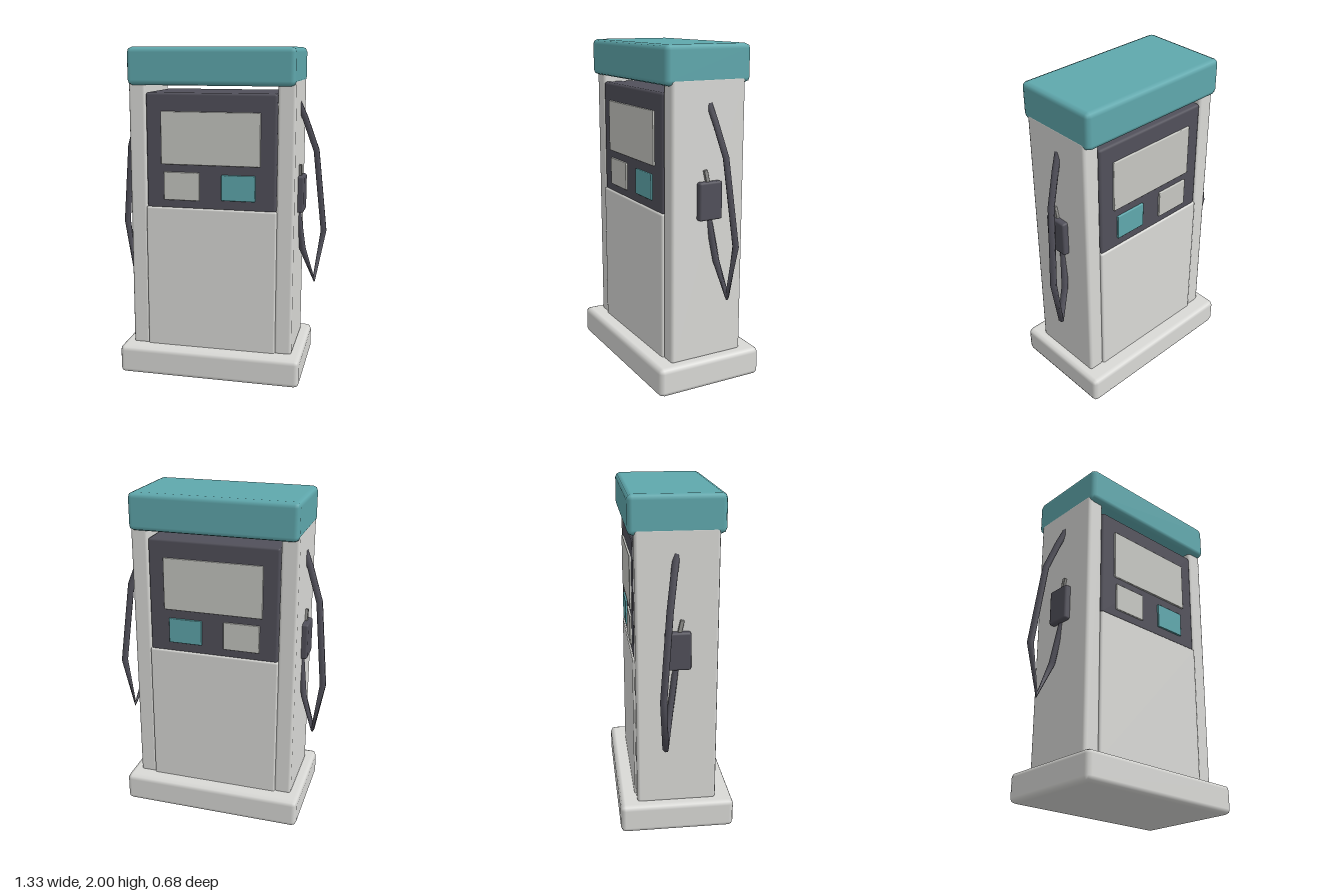
import * as THREE from 'three';
import { RoundedBoxGeometry } from 'three/addons/geometries/RoundedBoxGeometry.js';

const mat = (name, color) => Object.assign(new THREE.MeshStandardMaterial({ color }), { name });

// Straight-segment path whose rings sit exactly on the given points
class Polyline extends THREE.Curve {
  constructor(points) {
    super();
    this.points = points;
  }
  at(i) {
    return this.points[THREE.MathUtils.clamp(i, 0, this.points.length - 1)];
  }
  getPointAt(u, target = new THREE.Vector3()) {
    return target.copy(this.at(Math.round(u * (this.points.length - 1))));
  }
  getTangentAt(u, target = new THREE.Vector3()) {
    const i = Math.round(u * (this.points.length - 1));
    const a = this.at(i).clone().sub(this.at(i - 1)).normalize();
    const b = this.at(i + 1).clone().sub(this.at(i)).normalize();
    return target.copy(a.add(b).normalize());
  }
}

export function createModel() {
  const body = mat('light grey paint', 0xd9d9d6);
  const teal = mat('teal', 0x5fa8ad);
  const dark = mat('charcoal', 0x51505a);
  const screen = mat('screen grey', 0xc6c7c2);
  const metal = mat('lever metal', 0x8f8f8c);

  const model = new THREE.Group();
  model.name = 'fuelPump';

  // Rounded block given by its extents on each axis
  const block = (name, material, [x0, x1], [y0, y1], [z0, z1], r, parent = model) => {
    const geo = new RoundedBoxGeometry(x1 - x0, y1 - y0, z1 - z0, 1, r);
    const mesh = new THREE.Mesh(geo, material);
    mesh.position.set((x0 + x1) / 2, (y0 + y1) / 2, (z0 + z1) / 2);
    mesh.name = name;
    parent.add(mesh);
    return mesh;
  };

  // Main body; a slot stays open between the console and the canopy
  block('base', body, [-0.56, 0.56], [0, 0.175], [-0.34, 0.34], 0.03);
  block('lowerCabinet', body, [-0.4, 0.4], [0.165, 1.053], [-0.246, 0.246], 0.012);
  block('console', dark, [-0.394, 0.394], [1.045, 1.738], [-0.238, 0.238], 0.015);
  block('canopy', teal, [-0.5, 0.5], [1.78, 2], [-0.272, 0.272], 0.03);

  // Display plates, the same on both faces
  for (const s of [1, -1]) {
    const side = s > 0 ? 'front' : 'back';
    const z = [s * 0.242 - 0.008, s * 0.242 + 0.008];
    block(side + 'Display', screen, [-0.3, 0.3], [1.315, 1.63], z, 0.005);
    block(side + 'Keypad', screen, [-0.285, -0.065], [1.1, 1.27], z, 0.005);
    block(side + 'CardPanel', teal, [0.068, 0.272], [1.108, 1.262], z, 0.005);
  }

  // Side column, nozzle and hose, repeated on the left and right
  const hosePath = new Polyline([
    [0.485, 1.675, -0.005], [0.525, 1.58, -0.022], [0.593, 1.385, -0.053],
    [0.645, 0.88, -0.095], [0.594, 0.565, -0.078], [0.522, 0.77, -0.043],
    [0.488, 1.04, -0.005],
  ].map((p) => new THREE.Vector3(...p)));

  for (const s of [1, -1]) {
    const side = s > 0 ? 'left' : 'right';
    const xs = (a, b) => (s > 0 ? [a, b] : [-b, -a]);
    block(side + 'Column', body, xs(0.395, 0.5), [0.165, 1.82], [-0.236, 0.236], 0.018);
    block(side + 'NozzleHolder', dark, xs(0.47, 0.536), [1.02, 1.242], [-0.073, 0.076], 0.012);

    const lever = block(side + 'NozzleLever', metal, xs(0.492, 0.516), [1.19, 1.31], [0.002, 0.026], 0.004);
    lever.rotation.x = 0.22;

    // Mirror the path itself so face winding stays correct
    const path = new Polyline(hosePath.points.map((p) => new THREE.Vector3(p.x * s, p.y, p.z)));
    const hose = new THREE.Mesh(
      new THREE.TubeGeometry(path, path.points.length - 1, 0.02, 6, false), dark);
    hose.name = side + 'Hose';
    model.add(hose);
  }

  return model;
}
